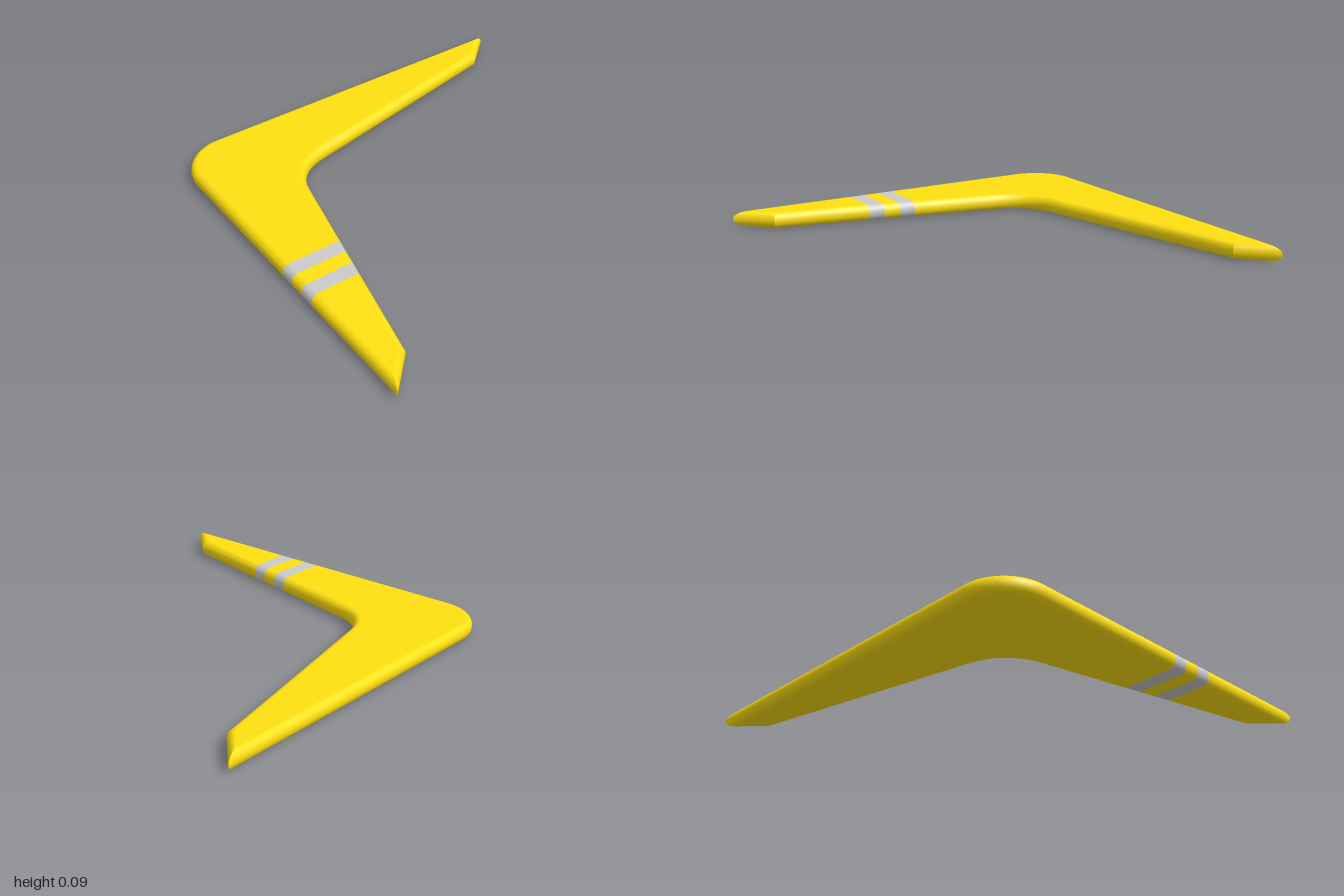
import * as THREE from 'three';
import { toCreasedNormals, mergeGeometries } from 'three/addons/utils/BufferGeometryUtils.js';

const HEIGHT = 0.085, INSET = 0.035, STEPS = 12;

// Plan coordinates are (x, y) with y = -z, listed counter-clockwise from above
const v = (x, y) => new THREE.Vector2(x, y);
const innerX = (y) => -0.84 + (0.26 * (y + 0.83)) / 1.19;
// Edges across the arm are seams between colours and stay unrounded
const isSeam = (a, b) => a.y === b.y && a.y < 0;

// Move every edge inwards by d (seams stay put) and meet neighbours at a mitre
function insetOutline(pts, d) {
  const n = pts.length;
  const edges = pts.map((p, i) => {
    const q = pts[(i + 1) % n], t = q.clone().sub(p).normalize();
    return { nx: -t.y, ny: t.x, d: isSeam(p, q) ? 0 : d };
  });
  return pts.map((p, i) => {
    const a = edges[(i + n - 1) % n], b = edges[i];
    const det = a.nx * b.ny - a.ny * b.nx;
    return v(p.x + (a.d * b.ny - b.d * a.ny) / det, p.y + (a.nx * b.d - b.nx * a.d) / det);
  });
}

const geometryFrom = (positions) => new THREE.BufferGeometry()
  .setAttribute('position', new THREE.Float32BufferAttribute(positions, 3));

// A flat slab with a half-round edge
function roundedSlab(pts) {
  const n = pts.length, rings = [];
  for (let j = 0; j <= STEPS; j++) {
    const a = -Math.PI / 2 + (Math.PI * j) / STEPS;
    const y = (HEIGHT / 2) * (1 + Math.sin(a));
    rings.push(insetOutline(pts, INSET * (1 - Math.cos(a))).map((p) => [p.x, y, -p.y]));
  }
  const side = [], caps = [];
  for (let j = 0; j < STEPS; j++) {
    for (let i = 0; i < n; i++) {
      const k = (i + 1) % n;
      if (isSeam(pts[i], pts[k])) continue;
      const a = rings[j][i], b = rings[j][k], c = rings[j + 1][k], d = rings[j + 1][i];
      side.push(...a, ...b, ...c, ...a, ...c, ...d);
    }
  }
  const top = rings[STEPS], bottom = rings[0];
  const flat = top.map((p) => v(p[0], -p[2]));
  for (const [a, b, c] of THREE.ShapeUtils.triangulateShape(flat, [])) {
    caps.push(...top[a], ...top[b], ...top[c], ...bottom[a], ...bottom[c], ...bottom[b]);
  }
  const capGeometry = geometryFrom(caps);
  capGeometry.computeVertexNormals();
  return mergeGeometries([toCreasedNormals(geometryFrom(side), 0.45), capGeometry]);
}

export function createModel() {
  const group = new THREE.Group();
  group.name = 'boomerang';
  const yellow = new THREE.MeshStandardMaterial({ color: 0xffe010 });
  const grey = new THREE.MeshStandardMaterial({ color: 0xcccccc });
  const add = (name, pts, material) => {
    const mesh = new THREE.Mesh(roundedSlab(pts), material);
    mesh.name = name;
    group.add(mesh);
  };
  const band = (y0, y1) => [v(-1, y0), v(innerX(y0), y0), v(innerX(y1), y1), v(-1, y1)];

  // Elbow with the long plain arm
  const elbow = new THREE.QuadraticBezierCurve(v(-0.58, 0.36), v(-0.54, 0.54), v(-0.36, 0.58));
  const corner = [];
  for (let i = 0; i <= 14; i++) {
    const a = Math.PI / 2 + (Math.PI / 2) * (i / 14);
    corner.push(v(-0.76 + 0.24 * Math.cos(a), 0.76 + 0.24 * Math.sin(a)));
  }
  add('body', [
    v(-1, -0.085), v(innerX(-0.085), -0.085),
    ...elbow.getPoints(14), v(0.83, 0.84), v(1, 1), ...corner,
  ], yellow);

  // Striped arm
  add('innerStripe', band(-0.165, -0.085), grey);
  add('stripeGap', band(-0.25, -0.165), yellow);
  add('outerStripe', band(-0.33, -0.25), grey);
  add('armTip', [v(-1, -1), v(-0.84, -0.83), v(innerX(-0.33), -0.33), v(-1, -0.33)], yellow);
  return group;
}
